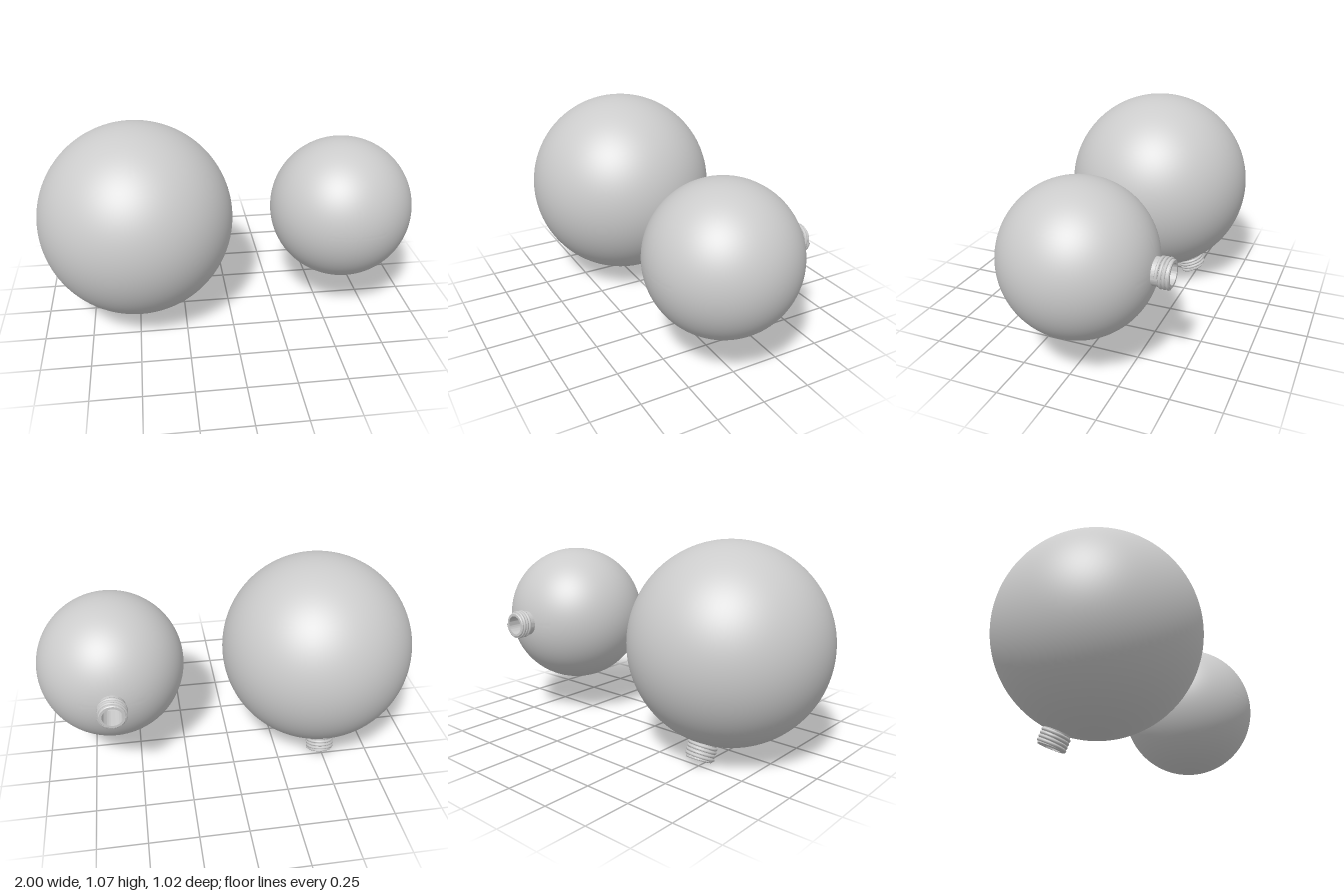
import * as THREE from 'three';
import { toCreasedNormals } from 'three/addons/utils/BufferGeometryUtils.js';

const material = new THREE.MeshStandardMaterial({ color: 0xcccccc });
const CORE = 0.067, BORE = 0.05, WALL = 0.03, PITCH = 0.0175, RIDGE = 0.008;

// Points on an arc about the origin; angles measured from the bottom pole
function arc(radius, from, to, steps) {
  return Array.from({ length: steps + 1 }, (_, i) => {
    const a = from + ((to - from) * i) / steps;
    return new THREE.Vector2(Math.max(0, radius * Math.sin(a)), -radius * Math.cos(a));
  });
}

// Helical ridge wound around the neck
class Helix extends THREE.Curve {
  constructor(start, turns) {
    super();
    this.start = start;
    this.turns = turns;
  }
  getPoint(t, target = new THREE.Vector3()) {
    const a = t * this.turns * Math.PI * 2;
    return target.set(CORE * Math.cos(a), this.start + t * this.turns * PITCH, CORE * Math.sin(a));
  }
}

// Hollow ball with an open threaded neck pointing along its local +y
function threadedBall(name, radius, neckEnd, turns) {
  const ball = new THREE.Group();
  ball.name = name;
  const inner = radius - WALL;

  // Outer wall, neck, bore and inner wall as one turned profile
  const profile = [
    ...arc(radius, 0, Math.PI - Math.asin(CORE / radius), 64),
    new THREE.Vector2(CORE, neckEnd - 0.004),
    new THREE.Vector2(CORE - 0.004, neckEnd),
    new THREE.Vector2(BORE, neckEnd),
    ...arc(inner, Math.PI - Math.asin(BORE / inner), 0, 40),
  ];
  const shell = new THREE.Mesh(toCreasedNormals(new THREE.LatheGeometry(profile, 96), 0.5), material);
  shell.name = name + 'Shell';
  ball.add(shell);

  // Screw thread, ending flush with the rim
  const helix = new Helix(neckEnd - RIDGE - turns * PITCH, turns);
  const thread = new THREE.Mesh(new THREE.TubeGeometry(helix, turns * 48, RIDGE, 8), material);
  thread.name = name + 'Thread';
  ball.add(thread);
  return ball;
}

export function createModel() {
  const model = new THREE.Group();
  model.name = 'threadedBalls';

  // Large ball, neck pointing down and slightly back
  const large = threadedBall('largeBall', 0.51, 0.588, 4);
  large.position.set(-0.49, 0.57, 0);
  large.rotation.x = THREE.MathUtils.degToRad(-156.3);

  // Small ball, neck pointing straight back
  const small = threadedBall('smallBall', 0.381, 0.46, 3);
  small.position.set(0.617, 0.57, 0);
  small.rotation.x = -Math.PI / 2;

  model.add(large, small);
  return model;
}
